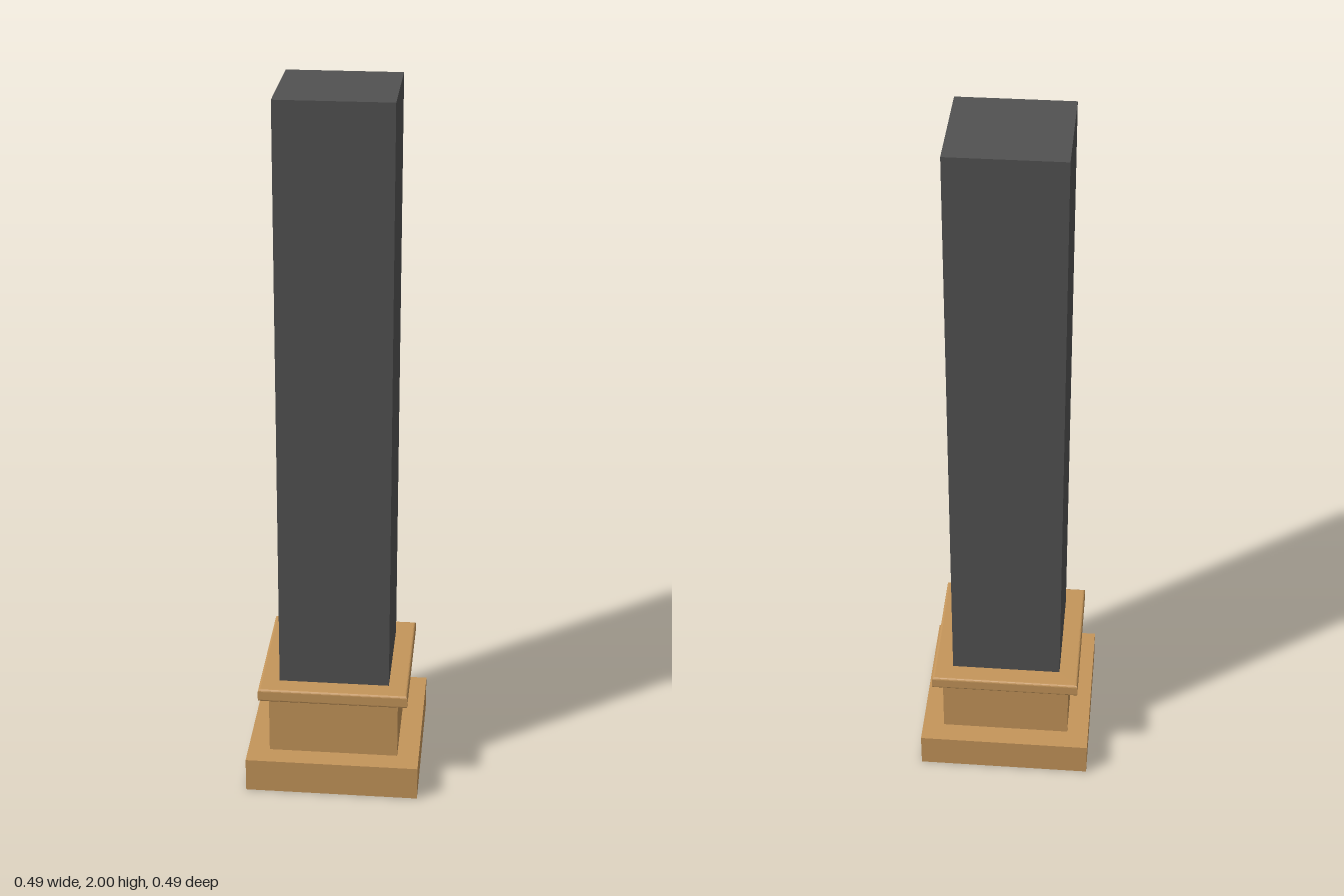
import * as THREE from 'three';

export function createModel() {
  const group = new THREE.Group();
  const wood = new THREE.MeshStandardMaterial({ color: 0xc4955a });
  wood.name = 'warm wood';
  const charcoal = new THREE.MeshStandardMaterial({ color: 0x525252 });
  charcoal.name = 'charcoal';

  const add = (name, geometry, material, y = 0) => {
    const mesh = new THREE.Mesh(geometry, material);
    mesh.name = name;
    mesh.position.y = y;
    group.add(mesh);
  };

  // Square block standing between two heights
  const block = (name, width, bottom, top, material) =>
    add(name, new THREE.BoxGeometry(width, top - bottom, width), material, (bottom + top) / 2);

  block('plinth', 0.492, 0, 0.1, wood);
  block('pedestal', 0.368, 0.1, 0.278, wood);
  block('shaft', 0.312, 0.314, 2, charcoal);

  // Collar moulding: rounded edge profile with square mitred corners
  const half = 0.212, bottom = 0.277, top = 0.316, r = 0.007, steps = 4;
  const profile = [new THREE.Vector2(0, bottom)];
  for (const [centre, start] of [[bottom + r, -Math.PI / 2], [top - r, 0]]) {
    for (let i = 0; i <= steps; i++) {
      const a = start + (i / steps) * Math.PI / 2;
      const reach = half - r + r * Math.cos(a);
      profile.push(new THREE.Vector2(reach * Math.SQRT2, centre + r * Math.sin(a)));
    }
  }
  profile.push(new THREE.Vector2(0, top));
  const collar = new THREE.LatheGeometry(profile, 4).rotateY(Math.PI / 4).toNonIndexed();
  collar.computeVertexNormals();
  add('collar', collar, wood);

  return group;
}
